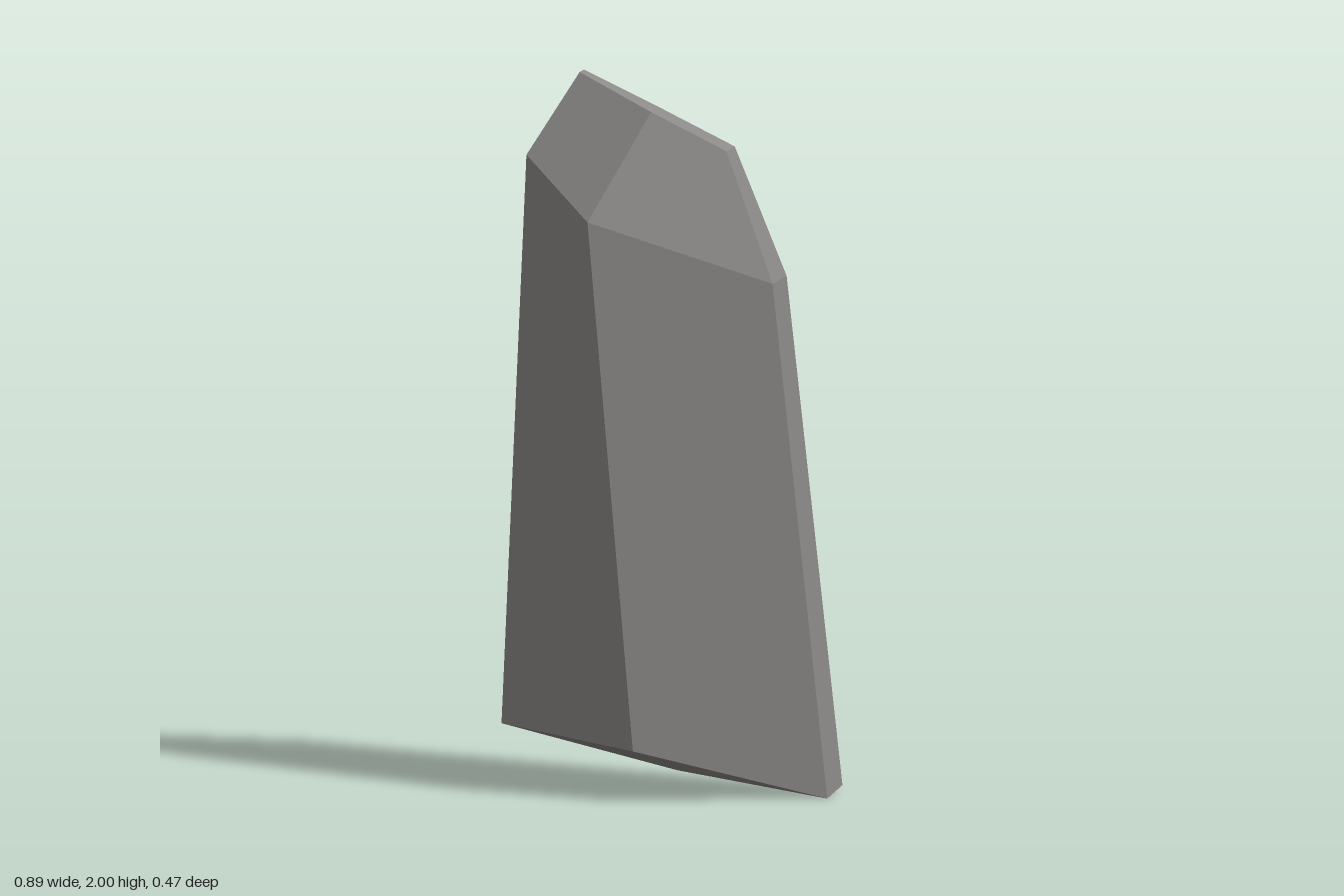
import * as THREE from 'three';

// Six-sided cross-sections, each running front-left, front, right-front, right-back, back, left-back
const baseRing = [
  [-0.447, 0.195, 0.155], [-0.05, 0.145, 0.235], [0.445, 0.0, 0.013],
  [0.445, 0.013, -0.147], [-0.05, 0.02, -0.235], [-0.447, 0.19, -0.045],
];
const shoulderRing = [
  [-0.4, 1.77, 0.066], [-0.19, 1.61, 0.197], [0.305, 1.44, 0.073],
  [0.305, 1.44, -0.075], [0.07, 1.61, -0.133], [-0.4, 1.77, -0.039],
];
const tipRing = [
  [-0.26, 2.0, 0.022], [-0.05, 1.9, 0.043], [0.165, 1.8, 0.043],
  [0.165, 1.8, -0.045], [-0.05, 1.9, -0.045], [-0.26, 2.0, -0.025],
];

const toVectors = (ring) => ring.map((p) => new THREE.Vector3(...p));

// Four-cornered facet, split along its shorter diagonal
function quad(a, b, c, d) {
  return a.distanceTo(c) <= b.distanceTo(d) ? [a, b, c, a, c, d] : [a, b, d, b, c, d];
}

// Band of facets between two rings
function band(lower, upper) {
  return lower.map((p, i) => {
    const j = (i + 1) % lower.length;
    return quad(p, lower[j], upper[j], upper[i]);
  });
}

// Single facet closing a ring, fanned from the given corner
function cap(ring, start, facesDown) {
  const n = ring.length;
  const points = [];
  for (let k = 1; k < n - 1; k++) {
    const b = ring[(start + k) % n];
    const c = ring[(start + k + 1) % n];
    points.push(ring[start], ...(facesDown ? [c, b] : [b, c]));
  }
  return [points];
}

// Area-weighted mean normal of a facet, so each facet shades as one plane
function facetNormal(points) {
  const sum = new THREE.Vector3();
  for (let k = 0; k < points.length; k += 3) {
    const ab = points[k + 1].clone().sub(points[k]);
    const ac = points[k + 2].clone().sub(points[k]);
    sum.add(ab.cross(ac));
  }
  return sum.normalize();
}

export function createModel() {
  const stone = new THREE.MeshStandardMaterial({ color: 0x8c8a88 });
  stone.name = 'grey stone';

  const model = new THREE.Group();
  model.name = 'standingStone';

  const add = (name, facets) => {
    const geometry = new THREE.BufferGeometry().setFromPoints(facets.flat());
    const normals = facets.flatMap((points) => {
      const normal = facetNormal(points).toArray();
      return points.flatMap(() => normal);
    });
    geometry.setAttribute('normal', new THREE.Float32BufferAttribute(normals, 3));
    const mesh = new THREE.Mesh(geometry, stone);
    mesh.name = name;
    model.add(mesh);
  };

  const [base, shoulder, tip] = [baseRing, shoulderRing, tipRing].map(toVectors);
  add('underside', cap(base, 4, true));
  add('shaft', band(base, shoulder));
  add('bevelledCrown', band(shoulder, tip));
  add('topFace', cap(tip, 0, false));
  return model;
}
